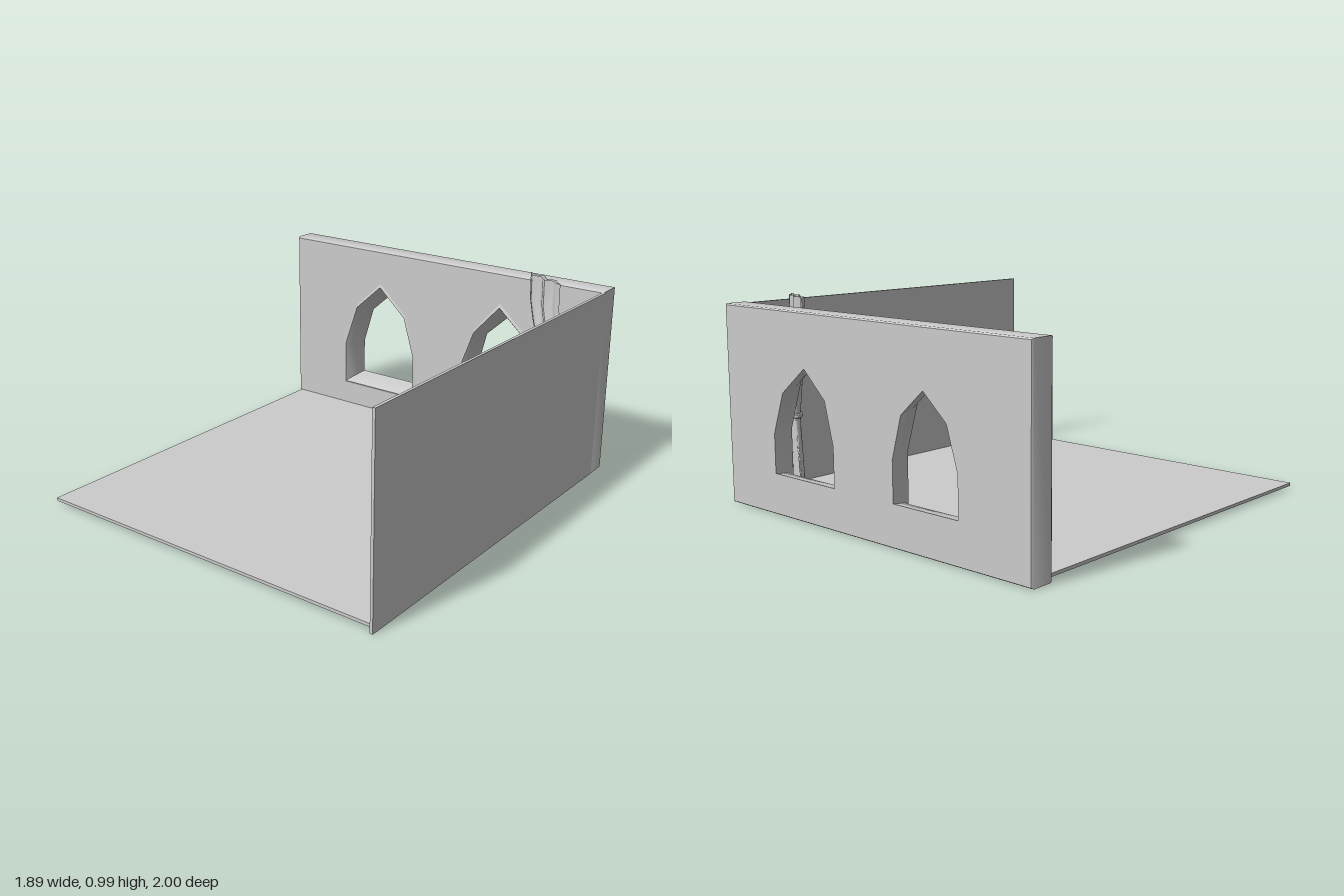
import * as THREE from 'three';
import { toCreasedNormals } from 'three/addons/utils/BufferGeometryUtils.js';

const material = new THREE.MeshStandardMaterial({ color: 0xcccccc });
const thin = new THREE.MeshStandardMaterial({ color: 0xcccccc, side: THREE.DoubleSide });
const BACK = -1, FRONT = -0.88;

function add(parent, name, geometry, mat = material) {
  const mesh = new THREE.Mesh(geometry, mat);
  mesh.name = name;
  parent.add(mesh);
  return mesh;
}

function box(parent, name, [x0, x1], [y0, y1], [z0, z1]) {
  const mesh = add(parent, name, new THREE.BoxGeometry(x1 - x0, y1 - y0, z1 - z0));
  mesh.position.set((x0 + x1) / 2, (y0 + y1) / 2, (z0 + z1) / 2);
}

// Skin between closed rings of [x, y, z] points
function loft(rings, crease) {
  const n = rings[0].length, index = [];
  for (let r = 0; r < rings.length - 1; r++) {
    for (let i = 0; i < n; i++) {
      const a = r * n + i, b = r * n + (i + 1) % n;
      index.push(a, b, b + n, a, b + n, a + n);
    }
  }
  const g = new THREE.BufferGeometry();
  g.setAttribute('position', new THREE.Float32BufferAttribute(rings.flat(2), 3));
  g.setIndex(index);
  g.computeVertexNormals();
  return toCreasedNormals(g, crease);
}

const toPoints = (pts) => pts.map(([x, y]) => new THREE.Vector2(x, y));
const atDepth = (pts, z) => pts.map(([x, y]) => [x, y, z]);

// Flat wall face with window openings
function face(outline, holes, z) {
  const shape = new THREE.Shape(toPoints(outline));
  holes.forEach((h) => shape.holes.push(new THREE.Path(toPoints(h))));
  return new THREE.ShapeGeometry(shape).translate(0, 0, z);
}

const rect = (inset) => [
  [-0.945 + inset, inset], [0.94 - inset, inset], [0.94 - inset, 0.95 - inset], [-0.945 + inset, 0.95 - inset],
];

// Pointed windows: wide front outline narrowing to a smaller opening
const windows = [
  {
    outer: [[-0.6, 0.16], [-0.145, 0.16], [-0.145, 0.39], [-0.21, 0.605], [-0.37, 0.75], [-0.525, 0.61], [-0.6, 0.39]],
    inner: [[-0.56, 0.195], [-0.185, 0.195], [-0.185, 0.38], [-0.24, 0.575], [-0.37, 0.69], [-0.5, 0.575], [-0.56, 0.38]],
  },
  {
    outer: [[0.145, 0.16], [0.635, 0.16], [0.635, 0.38], [0.555, 0.61], [0.375, 0.77], [0.23, 0.61], [0.145, 0.38]],
    inner: [[0.19, 0.195], [0.6, 0.195], [0.6, 0.38], [0.53, 0.575], [0.375, 0.7], [0.24, 0.575], [0.19, 0.38]],
  },
];

function mix(w, t) {
  return w.outer.map(([x, y], i) => [x + (w.inner[i][0] - x) * t, y + (w.inner[i][1] - y) * t]);
}

function windowWall() {
  const wall = new THREE.Group();
  wall.name = 'windowWall';
  add(wall, 'wallFront', face(rect(0.006), windows.map((w) => mix(w, -0.3)), FRONT));
  add(wall, 'wallBack', face(rect(0.006), windows.map((w) => w.inner), BACK), thin);
  add(wall, 'wallEdges', loft([
    atDepth(rect(0.006), BACK), atDepth(rect(0), BACK + 0.01),
    atDepth(rect(0), FRONT - 0.01), atDepth(rect(0.006), FRONT),
  ], 1), thin);
  windows.forEach((w, i) => {
    add(wall, 'windowReveal' + (i + 1), loft([
      atDepth(mix(w, -0.3), FRONT), atDepth(w.outer, FRONT + 0.005),
      atDepth(mix(w, 0.5), FRONT - 0.035), atDepth(mix(w, 0.75), BACK + 0.045), atDepth(w.inner, BACK),
    ], 0.55), thin);
  });
  return wall;
}

// Curtain hangs on a diagonal running from the window to the side wall
const curtainZ = (x) => -0.855 + (x - 0.55) * 0.46;

// Flattened ring spanning x0..x1, with folds along both faces
function curtainRing(y, x0, x1, depth, folds) {
  const n = 40, ring = [];
  for (let i = 0; i < n; i++) {
    const a = (i / n) * Math.PI * 2;
    const u = Math.cos(a);
    const x = (x0 + x1) / 2 + u * (x1 - x0) / 2;
    const off = depth * Math.sin(a) + folds * Math.sin(u * 8 + 0.6) * (1 - u * u * 0.6);
    ring.push([x - off * 0.15, y, curtainZ(x) + off]);
  }
  return ring;
}

function curtain() {
  const group = new THREE.Group();
  group.name = 'curtain';
  // [y, left x, right x, half depth, fold depth], top to bottom
  const rows = [
    [0.99, 0.55, 0.77, 0.012, 0.014], [0.86, 0.555, 0.772, 0.014, 0.014], [0.77, 0.58, 0.795, 0.016, 0.013],
    [0.6, 0.645, 0.79, 0.02, 0.01], [0.48, 0.69, 0.785, 0.022, 0.006], [0.42, 0.707, 0.782, 0.022, 0.003],
    [0.36, 0.705, 0.788, 0.022, 0.004], [0.24, 0.68, 0.82, 0.02, 0.009], [0.15, 0.662, 0.838, 0.018, 0.012],
    [0.065, 0.648, 0.848, 0.016, 0.014],
  ];
  add(group, 'curtainCloth', loft(rows.map((r) => curtainRing(...r)), 0.9), thin);

  // Tie band around the waist
  const band = [[0.428, 0.7, 0.788, 0.026], [0.424, 0.692, 0.8, 0.034], [0.41, 0.692, 0.8, 0.034], [0.406, 0.7, 0.788, 0.026]];
  add(group, 'curtainTie', loft(band.map(([y, a, b, d]) => curtainRing(y, a, b, d, 0)), 0.9), thin);
  return group;
}

export function createModel() {
  const model = new THREE.Group();
  model.name = 'roomCorner';
  box(model, 'floor', [-0.93, 0.93], [0.015, 0.03], [-0.89, 0.98]);
  box(model, 'sideWall', [0.928, 0.942], [0, 0.945], [-0.885, 1]);
  model.add(windowWall(), curtain());
  return model;
}
